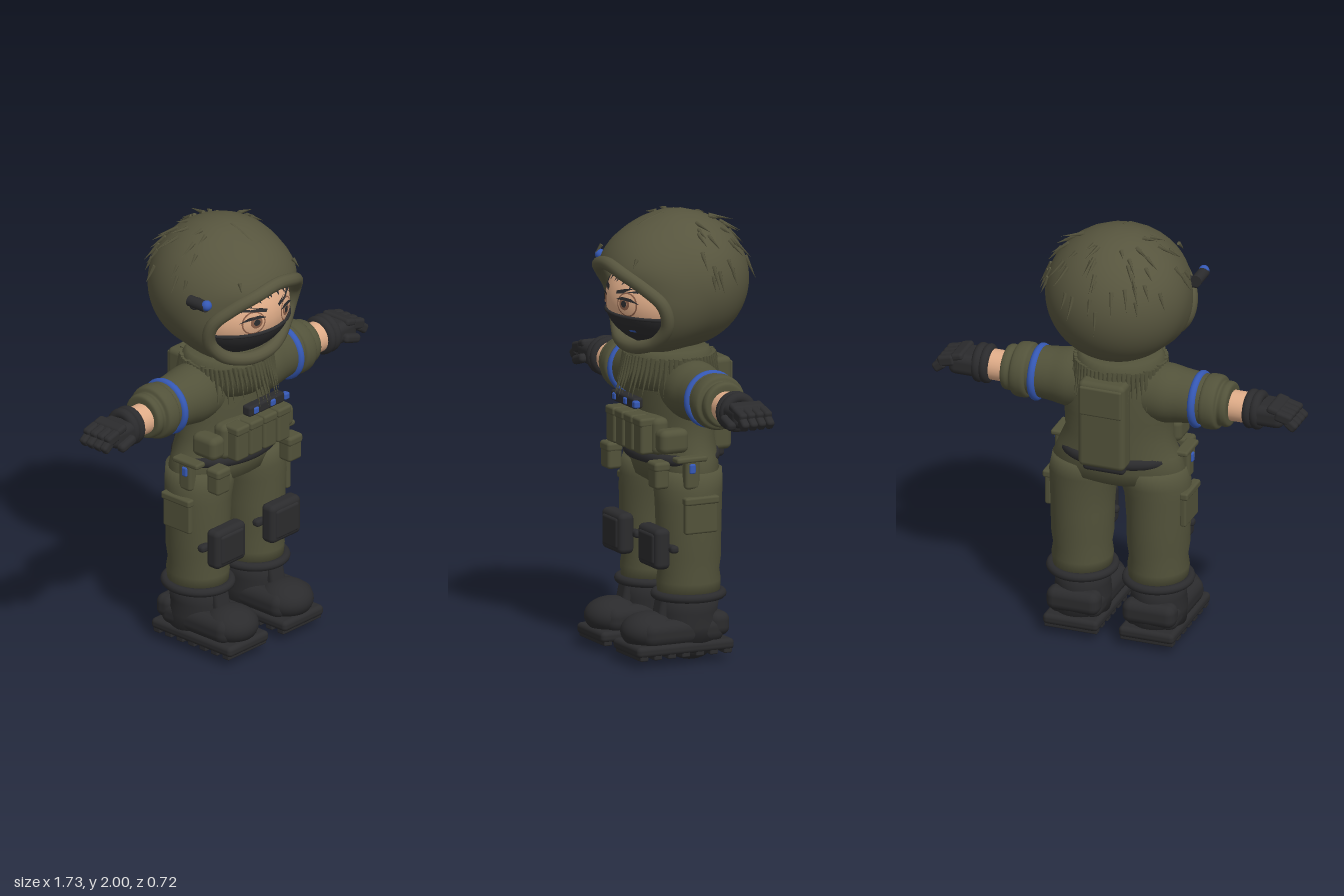
import * as THREE from 'three';
import { RoundedBoxGeometry } from 'three/addons/geometries/RoundedBoxGeometry.js';

const mat = (name, color, side = THREE.FrontSide) => {
  const m = new THREE.MeshStandardMaterial({ color, side });
  m.name = name;
  return m;
};
const V = (x, y, z) => new THREE.Vector3(x, y, z);

export function createModel() {
  const root = new THREE.Group();
  root.name = 'hoodedSoldier';
  const hoodMat = mat('hoodOlive', 0x57553e, THREE.DoubleSide);
  const suit = mat('suitOlive', 0x52523a, THREE.DoubleSide);
  const black = mat('gearBlack', 0x2b2b2d);
  const blue = mat('accentBlue', 0x3558b4);
  const skin = mat('skin', 0xdfac88);
  const brown = mat('eyeBrown', 0x8a5e48);

  let seed = 7;
  const rand = () => (seed = (seed * 16807) % 2147483647) / 2147483647;

  const add = (name, geo, m, x = 0, y = 0, z = 0, rx = 0, ry = 0, rz = 0) => {
    const mesh = new THREE.Mesh(geo, m);
    mesh.name = name;
    mesh.position.set(x, y, z);
    mesh.rotation.set(rx, ry, rz);
    root.add(mesh);
    return mesh;
  };
  const box = (w, h, d, r = 0.015) => new RoundedBoxGeometry(w, h, d, 3, Math.min(r, w / 2.1, h / 2.1, d / 2.1));
  const ball = (rx, ry, rz) => new THREE.SphereGeometry(1, 28, 18).scale(rx, ry, rz);
  const ring = (rx, rz, tube) => new THREE.TorusGeometry(1, tube / rx, 12, 40).rotateX(Math.PI / 2).scale(rx, rx, rz);

  // Closed tube of oval sections [y, rx, rz, cx, cz], listed bottom to top
  const loft = (sections, n = 36) => {
    const pos = [], idx = [];
    const last = sections[sections.length - 1];
    const rows = [[sections[0][0], 0, 0, sections[0][3], sections[0][4]], ...sections, [last[0], 0, 0, last[3], last[4]]];
    rows.forEach(([y, rx, rz, cx = 0, cz = 0], j) => {
      for (let i = 0; i < n; i++) {
        const a = (i / n) * Math.PI * 2;
        pos.push(cx + rx * Math.sin(a), y, cz + rz * Math.cos(a));
        if (j) {
          const k = (i + 1) % n, p = (j - 1) * n, q = j * n;
          idx.push(p + i, p + k, q + k, p + i, q + k, q + i);
        }
      }
    });
    const g = new THREE.BufferGeometry();
    g.setAttribute('position', new THREE.Float32BufferAttribute(pos, 3));
    g.setIndex(idx);
    g.computeVertexNormals();
    return g;
  };

  // Thin pointed strip hanging from p along dir
  const strip = (name, m, p, dir, len, r) => {
    const g = new THREE.ConeGeometry(r, len, 5).rotateX(Math.PI).translate(0, -len / 2, 0);
    add(name, g, m, p.x, p.y, p.z).quaternion.setFromUnitVectors(V(0, -1, 0), dir.normalize());
  };

  // Hood: swept from the back pole to the face rim
  const c = V(0, 1.69, -0.015), R = V(0.325, 0.31, 0.322);
  const half = [[0, 1.785, 0.325], [0.12, 1.76, 0.31], [0.21, 1.705, 0.25], [0.27, 1.63, 0.185],
    [0.265, 1.54, 0.16], [0.2, 1.455, 0.18], [0.1, 1.415, 0.215], [0, 1.405, 0.225]];
  const rimPts = [...half, ...half.slice(1, -1).reverse().map(([x, y, z]) => [-x, y, z])].map((p) => V(...p));
  const rim = new THREE.CatmullRomCurve3(rimPts, true);
  const N = 72, M = 36, hp = [], hi = [];
  for (let j = 0; j <= M; j++) {
    const t = j / M;
    for (let i = 0; i < N; i++) {
      const d = rim.getPoint(i / N).sub(c).divide(R), L = d.length();
      const n = d.divideScalar(L), ang = Math.acos(-n.z) * t;
      const s = Math.hypot(n.x, n.y) || 1;
      const k = 1 + (L - 1) * THREE.MathUtils.smoothstep(t, 0.68, 1);
      const p = V((n.x / s) * Math.sin(ang), (n.y / s) * Math.sin(ang), -Math.cos(ang)).multiplyScalar(k).multiply(R).add(c);
      hp.push(p.x, p.y, p.z);
      if (j) {
        const a = (j - 1) * N + i, b = (j - 1) * N + ((i + 1) % N);
        hi.push(a, a + N, b + N, a, b + N, b);
      }
    }
  }
  const hg = new THREE.BufferGeometry();
  hg.setAttribute('position', new THREE.Float32BufferAttribute(hp, 3));
  // wound so the outside is the front
  for (let i = 0; i < hi.length; i += 3) [hi[i + 1], hi[i + 2]] = [hi[i + 2], hi[i + 1]];
  hg.setIndex(hi);
  hg.computeVertexNormals();
  add('hood', hg, hoodMat);
  add('hoodRim', new THREE.TubeGeometry(rim, 90, 0.03, 12, true), hoodMat);
  const seam = new THREE.CatmullRomCurve3([V(0, 1.993, 0.05), V(0, 1.95, 0.16), V(0, 1.88, 0.245)]);
  add('hoodSeam', new THREE.TubeGeometry(seam, 12, 0.006, 6), hoodMat);

  // Camouflage tufts on the hood
  for (let i = 0; i < 46; i++) {
    const a = Math.PI * (0.92 + 1.16 * rand()), e = 0.15 + 1.05 * rand();
    const n = V(Math.cos(a) * Math.cos(e), Math.sin(e), Math.sin(a) * Math.cos(e));
    const down = V(0, -1, 0).addScaledVector(n, n.y + 0.12);
    strip('hoodTuft', hoodMat, n.clone().multiply(R).add(c), down, 0.05 + 0.07 * rand(), 0.011);
  }
  for (const x of [-0.18, -0.1, 0.09, 0.17]) strip('brimTuft', hoodMat, V(x, 1.83, 0.265), V(x, -0.5, 0.35), 0.05, 0.01);

  // Head and mask
  const fc = V(0, 1.61, 0.05), fr = V(0.27, 0.21, 0.255);
  add('face', ball(fr.x, fr.y, fr.z), skin, fc.x, fc.y, fc.z);
  const mg = new THREE.SphereGeometry(1, 40, 18, 0, Math.PI * 2, 1.82, Math.PI - 1.82).scale(fr.x * 1.03, fr.y * 1.03, fr.z * 1.03);
  add('mask', mg, black, fc.x, fc.y, fc.z);
  add('maskEdge', ring(0.266, 0.252, 0.008), black, 0, 1.556, 0.05);

  // Flat details draped over the face
  const drape = (name, g, m, off) => {
    const p = g.attributes.position;
    for (let i = 0; i < p.count; i++) {
      const u = p.getX(i) / fr.x, v = (p.getY(i) - fc.y) / fr.y;
      p.setZ(i, fc.z + fr.z * Math.sqrt(Math.max(0, 1 - u * u - v * v)) + off);
    }
    g.computeVertexNormals();
    add(name, g, m);
  };
  const patch = (name, m, off, pts) => {
    if (THREE.ShapeUtils.area(pts.map(([x, y]) => ({ x, y }))) < 0) pts = pts.slice().reverse();
    drape(name, new THREE.ShapeGeometry(new THREE.Shape(pts.map(([x, y]) => new THREE.Vector2(x, y)))), m, off);
  };
  for (const s of [1, -1]) {
    const mir = (pts) => pts.map(([x, y]) => [s * x, y]);
    drape('eyeOutline', new THREE.RingGeometry(0.048, 0.054, 32).translate(s * 0.105, 1.615, 0), brown, 0.003);
    drape('iris', new THREE.RingGeometry(0.014, 0.028, 24).translate(s * 0.095, 1.617, 0), brown, 0.004);
    drape('pupil', new THREE.CircleGeometry(0.015, 20).translate(s * 0.095, 1.617, 0), black, 0.006);
    patch('upperLash', black, 0.007, mir([[0.045, 1.632], [0.08, 1.648], [0.13, 1.645], [0.172, 1.622], [0.14, 1.63], [0.09, 1.634]]));
    patch('eyebrow', black, 0.007, mir([[0.035, 1.668], [0.09, 1.684], [0.17, 1.69], [0.18, 1.676], [0.1, 1.667], [0.04, 1.655]]));
    for (const [x, y] of [[0.02, 1.7], [0.07, 1.695], [0.12, 1.685], [0.165, 1.67]])
      patch('hairLock', black, 0.009, mir([[x - 0.03, 1.765 - x * 0.25], [x + 0.03, 1.765 - x * 0.3], [x - 0.012, y]]));
  }
  patch('maskMark', blue, 0.013, [[0.08, 1.494], [0.115, 1.497], [0.115, 1.486], [0.08, 1.484]]);

  // Headset light on the right of the hood
  add('lampBody', new THREE.CylinderGeometry(0.026, 0.026, 0.1, 16).rotateX(Math.PI / 2), black, -0.325, 1.745, 0.15);
  add('lampTip', ball(0.024, 0.024, 0.024), blue, -0.325, 1.752, 0.2);
  add('lampMount', box(0.07, 0.05, 0.04), black, -0.3, 1.73, 0.12);

  // Torso and neck scarf
  add('torso', loft([[0.77, 0.2, 0.1], [0.8, 0.29, 0.15], [0.86, 0.31, 0.165], [0.92, 0.285, 0.165], [1.0, 0.25, 0.16],
    [1.1, 0.255, 0.16], [1.22, 0.27, 0.155], [1.31, 0.25, 0.145], [1.37, 0.17, 0.12]]), suit);
  add('scarf', loft([[1.21, 0.17, 0.17, 0, 0.02], [1.29, 0.2, 0.195, 0, 0.02], [1.35, 0.205, 0.195, 0, 0.02], [1.385, 0.18, 0.17, 0, 0.02]]), suit);
  for (let i = 0; i < 60; i++) {
    const a = (i / 60) * Math.PI * 2;
    strip('scarfFringe', suit, V(0.2 * Math.sin(a), 1.355 + 0.01 * rand(), 0.02 + 0.195 * Math.cos(a)),
      V(0.1 * Math.sin(a), -1, 0.32 * Math.cos(a)), 0.12 + 0.08 * rand(), 0.014);
  }
  add('belt', ring(0.255, 0.18, 0.025), black, 0, 0.91, 0.01);
  add('beltRear', box(0.2, 0.055, 0.05, 0.02), black, 0, 0.905, -0.185);
  add('backpack', box(0.22, 0.42, 0.1, 0.025), suit, 0, 1.12, -0.19);
  add('backpackFlap', box(0.2, 0.14, 0.02), suit, 0, 1.24, -0.238);

  // Chest rig
  add('chestPanel', box(0.4, 0.17, 0.08, 0.03), suit, 0, 1.02, 0.155);
  for (let i = 0; i < 4; i++) {
    const x = (i - 1.5) * 0.09;
    add('chestPouch', box(0.083, 0.16, 0.075, 0.014), suit, x, 1.02, 0.21);
    add('pouchFlap', box(0.086, 0.04, 0.085, 0.012), suit, x, 1.085, 0.21);
  }
  add('radio', box(0.23, 0.05, 0.05, 0.012), black, 0.01, 1.165, 0.235);
  for (const x of [-0.065, 0.045, 0.135]) add('radioLight', box(0.032, 0.032, 0.03, 0.008), blue, x, 1.165, 0.252);

  for (const s of [1, -1]) {
    // Sleeve, arm band, rolled cuff and forearm run along x
    const along = (pts) => new THREE.LatheGeometry(new THREE.SplineCurve(pts.map((p) => new THREE.Vector2(...p))).getPoints(40), 32).rotateZ(-s * Math.PI / 2);
    const hoop = (r, t) => new THREE.TorusGeometry(r, t, 12, 36).rotateY(Math.PI / 2);
    add('sleeve', along([[0.13, 0.12], [0.135, 0.22], [0.124, 0.3], [0.117, 0.37], [0.112, 0.43]]), suit, 0, 1.22, 0.005);
    add('armBand', hoop(0.112, 0.019), blue, s * 0.38, 1.215, 0.005);
    add('rolledCuff', along([[0.07, 0.405], [0.118, 0.415], [0.126, 0.445], [0.12, 0.48], [0.1, 0.492], [0.104, 0.515], [0.095, 0.535], [0.06, 0.537]]), suit, 0, 1.215, 0.005);
    add('forearm', new THREE.CylinderGeometry(0.07, 0.07, 0.16, 28).rotateZ(Math.PI / 2), skin, s * 0.56, 1.21, 0.01);

    // Glove
    add('gloveCuff', hoop(0.068, 0.022), black, s * 0.625, 1.21, 0.01);
    add('gloveWrist', hoop(0.066, 0.024), black, s * 0.66, 1.21, 0.01);
    add('gloveHand', box(0.17, 0.1, 0.16, 0.035), black, s * 0.71, 1.21, 0.01);
    add('gloveKnuckles', box(0.06, 0.035, 0.16, 0.015), black, s * 0.75, 1.25, 0.01, 0, 0, -s * 0.25);
    for (let i = 0; i < 4; i++) {
      const z = -0.055 + i * 0.041;
      add('fingerBase', box(0.08, 0.05, 0.04, 0.014), black, s * 0.8, 1.225, z, 0, 0, -s * 0.25);
      add('fingerTip', box(0.06, 0.045, 0.038, 0.014), black, s * 0.835, 1.195, z, 0, 0, -s * 0.65);
    }
    add('thumb', box(0.1, 0.042, 0.045, 0.018), black, s * 0.735, 1.185, 0.095, 0, 0, -s * 0.3);

    // Trouser leg
    add('trouserLeg', loft([[0.29, 0.13, 0.14, s * 0.18, 0.015], [0.36, 0.138, 0.145, s * 0.18, 0.015], [0.41, 0.131, 0.138, s * 0.18, 0.015],
      [0.47, 0.14, 0.146, s * 0.18, 0.015], [0.6, 0.143, 0.147, s * 0.18, 0.015], [0.72, 0.15, 0.15, s * 0.178, 0.015], [0.78, 0.16, 0.152, s * 0.168, 0.012], [0.86, 0.15, 0.15, s * 0.16, 0.005]]), suit);

    // Knee pad with straps
    add('kneePad', box(0.195, 0.185, 0.075, 0.025), black, s * 0.18, 0.525, 0.185);
    add('kneePlate', box(0.15, 0.14, 0.03, 0.014), black, s * 0.18, 0.525, 0.215);
    add('kneeStrap', box(0.25, 0.035, 0.04), black, s * 0.18, 0.525, 0.14);

    // Pockets and pouches
    add('thighPocket', box(0.03, 0.15, 0.16, 0.01), suit, s * 0.32, 0.67, 0.025);
    add('thighPocketFlap', box(0.04, 0.035, 0.17, 0.01), suit, s * 0.325, 0.745, 0.025);
    add('hipPouch', box(0.085, 0.12, 0.07), suit, s * 0.235, 0.86, 0.19);
    add('hipPouchFlap', box(0.09, 0.045, 0.078), suit, s * 0.235, 0.9, 0.19);
    add('sidePouch', box(0.05, 0.14, 0.07), suit, s * 0.295, 0.865, 0.06);
    add('sideFlap', box(0.06, 0.025, 0.15, 0.01), suit, s * 0.295, 0.93, 0.065);
    add('sideLight', box(0.022, 0.045, 0.03, 0.008), blue, s * 0.318, 0.89, 0.065);
    add('waistPouch', box(0.09, 0.11, 0.14, 0.03), suit, s * 0.225, 1.005, 0.12);

    // Boot
    const bx = s * 0.18;
    add('bootCuff', ring(0.142, 0.15, 0.02), black, bx, 0.297, 0.015);
    add('bootShaft', loft([[0.08, 0.125, 0.14, bx, 0.01], [0.16, 0.13, 0.145, bx, 0.015], [0.22, 0.122, 0.135, bx, 0.02], [0.3, 0.132, 0.142, bx, 0.015]]), black);
    add('bootFoot', box(0.25, 0.12, 0.4, 0.05), black, bx, 0.14, 0.085);
    add('bootToe', ball(0.122, 0.085, 0.125), black, bx, 0.145, 0.215);
    add('bootHeel', box(0.25, 0.11, 0.1, 0.04), black, bx, 0.165, -0.09);
    add('bootTongue', box(0.09, 0.13, 0.05, 0.02), black, bx, 0.23, 0.15, -0.2);
    add('bootSole', box(0.262, 0.05, 0.48, 0.02), black, bx, 0.073, 0.088);
    for (let i = 0; i < 7; i++) add('soleTread', box(0.25, 0.025, 0.04, 0.006), black, bx, 0.046, -0.12 + i * 0.069);
    add('soleBulge', ball(0.11, 0.06, 0.1), black, bx, 0.06, 0.015);
  }
  return root;
}
